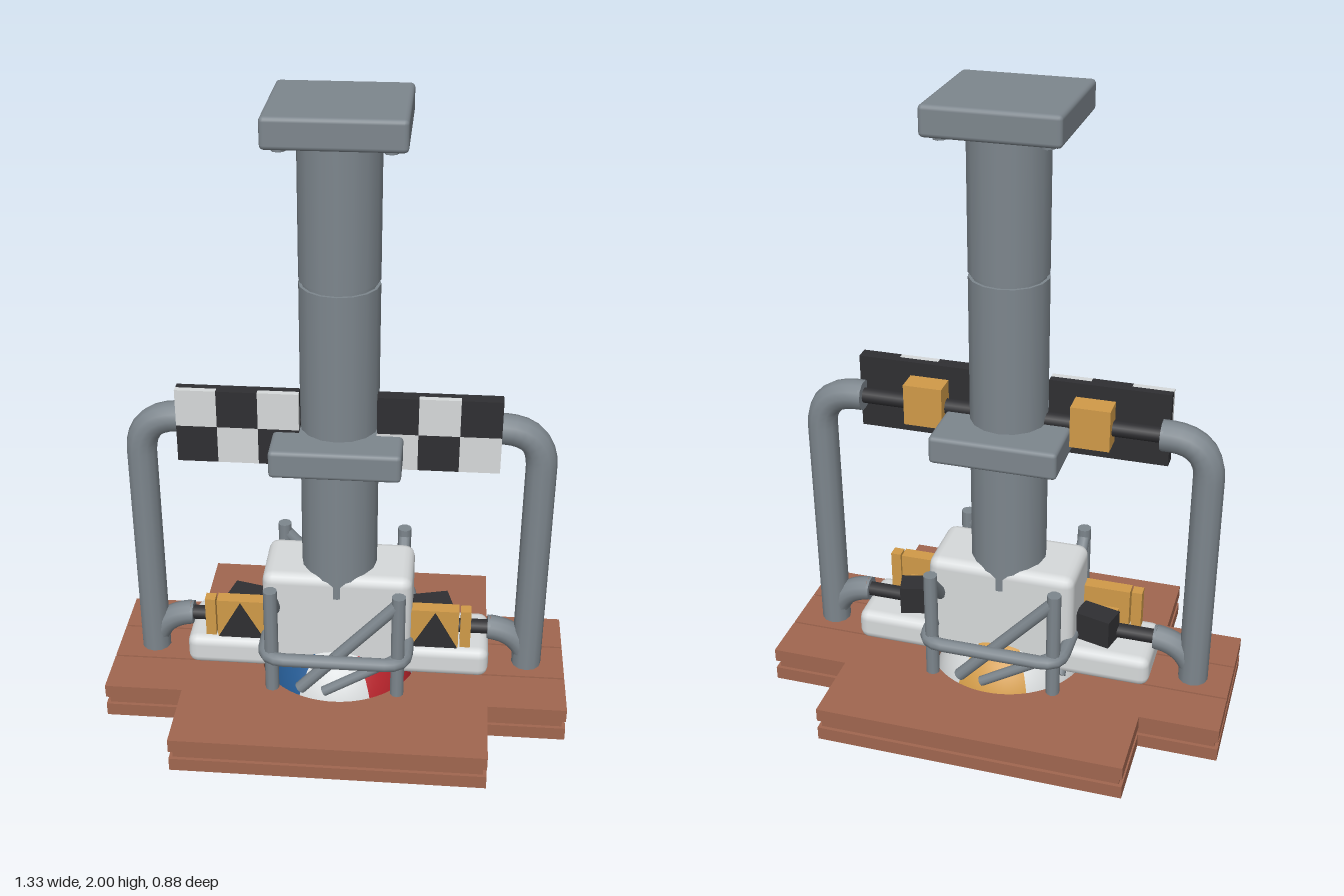
import * as THREE from 'three';
import { RoundedBoxGeometry } from 'three/addons/geometries/RoundedBoxGeometry.js';

const material = (name, color) => {
  const m = new THREE.MeshStandardMaterial({ color });
  m.name = name;
  return m;
};

export function createModel() {
  const brick = material('brick brown', 0xa0664f);
  const steel = material('steel grey', 0x7d868d);
  const white = material('white', 0xd6d9da);
  const black = material('black', 0x2f2f32);
  const gold = material('gold', 0xd09a48);
  const blue = material('blue', 0x255a92);
  const red = material('red', 0xb5232b);

  const model = new THREE.Group();
  model.name = 'hoist';

  // Helpers
  const add = (name, geometry, mat, x = 0, y = 0, z = 0, parent = model) => {
    const mesh = new THREE.Mesh(geometry, mat);
    mesh.name = name;
    mesh.position.set(x, y, z);
    parent.add(mesh);
    return mesh;
  };
  const box = (name, mat, w, h, d, x, y, z) => add(name, new THREE.BoxGeometry(w, h, d), mat, x, y, z);
  const rounded = (name, mat, w, h, d, r, x, y, z) =>
    add(name, new RoundedBoxGeometry(w, h, d, 2, r), mat, x, y, z);
  const cylinder = (name, mat, r, y0, y1, x = 0, z = 0, sides = 16) =>
    add(name, new THREE.CylinderGeometry(r, r, y1 - y0, sides), mat, x, (y0 + y1) / 2, z);
  const rod = (name, mat, r, a, b, parent = model) => {
    const from = new THREE.Vector3(...a), to = new THREE.Vector3(...b);
    const dir = to.clone().sub(from);
    const mesh = add(name, new THREE.CylinderGeometry(r, r, dir.length(), 10), mat, 0, 0, 0, parent);
    mesh.position.copy(from).add(to).multiplyScalar(0.5);
    mesh.quaternion.setFromUnitVectors(new THREE.Vector3(0, 1, 0), dir.normalize());
    return mesh;
  };
  // Pipe through straight runs and quarter bends
  const v = (x, y, z = 0) => new THREE.Vector3(x, y, z);
  const pipe = (name, mat, r, curves, steps) => {
    const path = new THREE.CurvePath();
    curves.forEach((c) => path.add(c));
    return add(name, new THREE.TubeGeometry(path, steps, r, 12), mat);
  };
  const line = (a, b) => new THREE.LineCurve3(a, b);
  const bend = (a, b, c) => new THREE.QuadraticBezierCurve3(a, b, c);

  // Deck: three stacked layers of planks around an opening for the ball
  const layer = (top, thickness, inset, gap) => {
    const X = 0.665 - inset, x = 0.44 - inset, Z = 0.44 - inset, z = 0.22 - inset;
    const near = 0.075 + gap, hole = 0.235;
    const a = Math.asin(near / hole);
    const s = new THREE.Shape();
    s.moveTo(hole * Math.cos(a), near);
    [[X, near], [X, z], [x, z], [x, Z], [-x, Z], [-x, z], [-X, z], [-X, near]].forEach((p) => s.lineTo(...p));
    s.lineTo(-hole * Math.cos(a), near);
    s.absarc(0, 0, hole, Math.PI - a, a, true);
    for (const turn of [0, Math.PI]) {
      const geo = new THREE.ExtrudeGeometry(s, { depth: thickness, bevelEnabled: false, curveSegments: 16 });
      geo.rotateX(Math.PI / 2);
      geo.rotateY(turn);
      add('deckWidePlank', geo, brick, 0, top, 0);
    }
    for (const side of [-1, 1]) {
      box('deckCentrePlank', brick, X - 0.22, thickness, 0.15 - gap * 2, side * (X + 0.22) / 2, top - thickness / 2, 0);
    }
  };
  layer(0.335, 0.04, 0, 0.003);
  layer(0.295, 0.025, 0.01, 0);
  layer(0.27, 0.04, 0, 0.003);

  // Beach ball: white sphere with coloured panels
  const R = 0.22;
  add('ball', new THREE.SphereGeometry(R, 36, 24), white, 0, R, 0);
  [[red, 30], [gold, 150], [blue, 270]].forEach(([mat, start]) => {
    const d = THREE.MathUtils.degToRad;
    add('ballPanel', new THREE.SphereGeometry(R + 0.001, 10, 20, d(start + 90), d(60), d(18), d(144)), mat, 0, R, 0);
  });

  // Column in three lengths with a groove and square flanges
  cylinder('columnLower', steel, 0.108, 0.6, 1.05);
  cylinder('columnMiddle', steel, 0.108, 1.09, 1.525);
  cylinder('columnGroove', steel, 0.1, 1.5, 1.56);
  cylinder('columnUpper', steel, 0.108, 1.537, 1.94);
  for (const y of [1.96, 1.07]) {
    rounded('flange', steel, 0.354, 0.08, 0.354, 0.012, 0, y, 0);
    for (const x of [-0.135, 0.135]) for (const z of [-0.135, 0.135]) {
      cylinder('flangeBolt', steel, 0.018, y - 0.05, y - 0.03, x, z, 8);
    }
  }

  // White hub and base arms
  rounded('hub', white, 0.43, 0.31, 0.212, 0.03, 0, 0.515, 0);
  rounded('baseBeam', white, 0.88, 0.095, 0.212, 0.028, 0, 0.39, 0);

  // Guard rings: rounded squares of pipe
  const ring = (name, y, half, r) => {
    const c = 0.06, h = half, k = half - c;
    const curves = [];
    for (let i = 0; i < 4; i++) {
      const q = (x, z) => v(x, y, z).applyAxisAngle(v(0, 1, 0), i * Math.PI / 2);
      curves.push(line(q(-k, h), q(k, h)), bend(q(k, h), q(h, h), q(h, k)));
    }
    const path = new THREE.CurvePath();
    curves.forEach((cv) => path.add(cv));
    add(name, new THREE.TubeGeometry(path, 64, r, 10, true), steel);
  };
  ring('guardRing', 0.45, 0.203, 0.02);
  ring('lowerRing', 0.217, 0.21, 0.014);

  // Cage posts and diagonal braces, repeated on four sides
  for (let i = 0; i < 4; i++) {
    const face = new THREE.Group();
    face.name = 'cageSide';
    face.rotation.y = i * Math.PI / 2;
    model.add(face);
    rod('cagePost', steel, 0.02, [0.18, 0.33, 0.18], [0.18, 0.67, 0.18], face);
    rod('cageBrace', steel, 0.018, [0.18, 0.645, 0.18], [-0.1, 0.335, 0.18], face);
    if (i % 2 === 0) rod('shortBrace', steel, 0.015, [0.17, 0.46, 0.19], [-0.03, 0.335, 0.19], face);
  }

  for (const s of [-1, 1]) {
    // Side arch pipe and its lower elbow
    pipe('archPipe', steel, 0.043, [
      line(v(s * 0.555, 0.228), v(s * 0.555, 1.0)),
      bend(v(s * 0.555, 1.0), v(s * 0.555, 1.115), v(s * 0.44, 1.115)),
      line(v(s * 0.44, 1.115), v(s * 0.425, 1.115)),
    ], 40);
    cylinder('pipeFoot', steel, 0.043, 0.226, 0.24, s * 0.555);
    rod('pipeEnd', steel, 0.043, [s * 0.422, 1.115, 0], [s * 0.43, 1.115, 0]);
    pipe('elbowPipe', steel, 0.036, [
      bend(v(s * 0.555, 0.35), v(s * 0.535, 0.445), v(s * 0.44, 0.455)),
    ], 12);
    rod('elbowEnd', steel, 0.036, [s * 0.435, 0.455, 0], [s * 0.443, 0.455, 0]);
    box('lowerBracket', steel, 0.02, 0.055, 0.1, s * 0.213, 0.205, 0);

    // Upper rod, clamp and chequered panel
    rod('upperRod', black, 0.022, [s * 0.1, 1.115, 0], [s * 0.43, 1.115, 0]);
    box('clamp', gold, 0.11, 0.12, 0.065, s * 0.235, 1.125, -0.012);
    box('panelBacking', black, 0.335, 0.215, 0.022, s * 0.2725, 1.117, 0.033);
    for (let col = 0; col < 3; col++) for (let row = 0; row < 2; row++) {
      const dark = (col + row + (s > 0 ? 0 : 1)) % 2 === 0;
      box('panelTile', dark ? black : white, 0.1117, 0.1075, 0.018,
        s * (0.161 + col * 0.1117), 1.171 - row * 0.1075, 0.053);
    }

    // Lower rod, motor block and warning plate with a dark triangle
    rod('lowerRod', black, 0.022, [s * 0.2, 0.455, 0], [s * 0.44, 0.455, 0]);
    const block = box('motorBlock', black, 0.11, 0.09, 0.07, s * 0.27, 0.48, -0.025);
    block.rotation.y = s * 0.25;
    box('warningPlate', gold, 0.15, 0.125, 0.04, s * 0.275, 0.4975, 0.065);
    box('warningPlateFin', gold, 0.03, 0.125, 0.034, s * 0.37, 0.4975, 0.065);
    box('plateMount', gold, 0.08, 0.06, 0.05, s * 0.28, 0.47, 0.025);
    const tri = new THREE.Shape([
      new THREE.Vector2(-0.065, 0), new THREE.Vector2(0.065, 0), new THREE.Vector2(0, 0.118),
    ]);
    add('warningTriangle', new THREE.ExtrudeGeometry(tri, { depth: 0.006, bevelEnabled: false }),
      black, s * 0.282, 0.437, 0.084);
  }

  return model;
}
